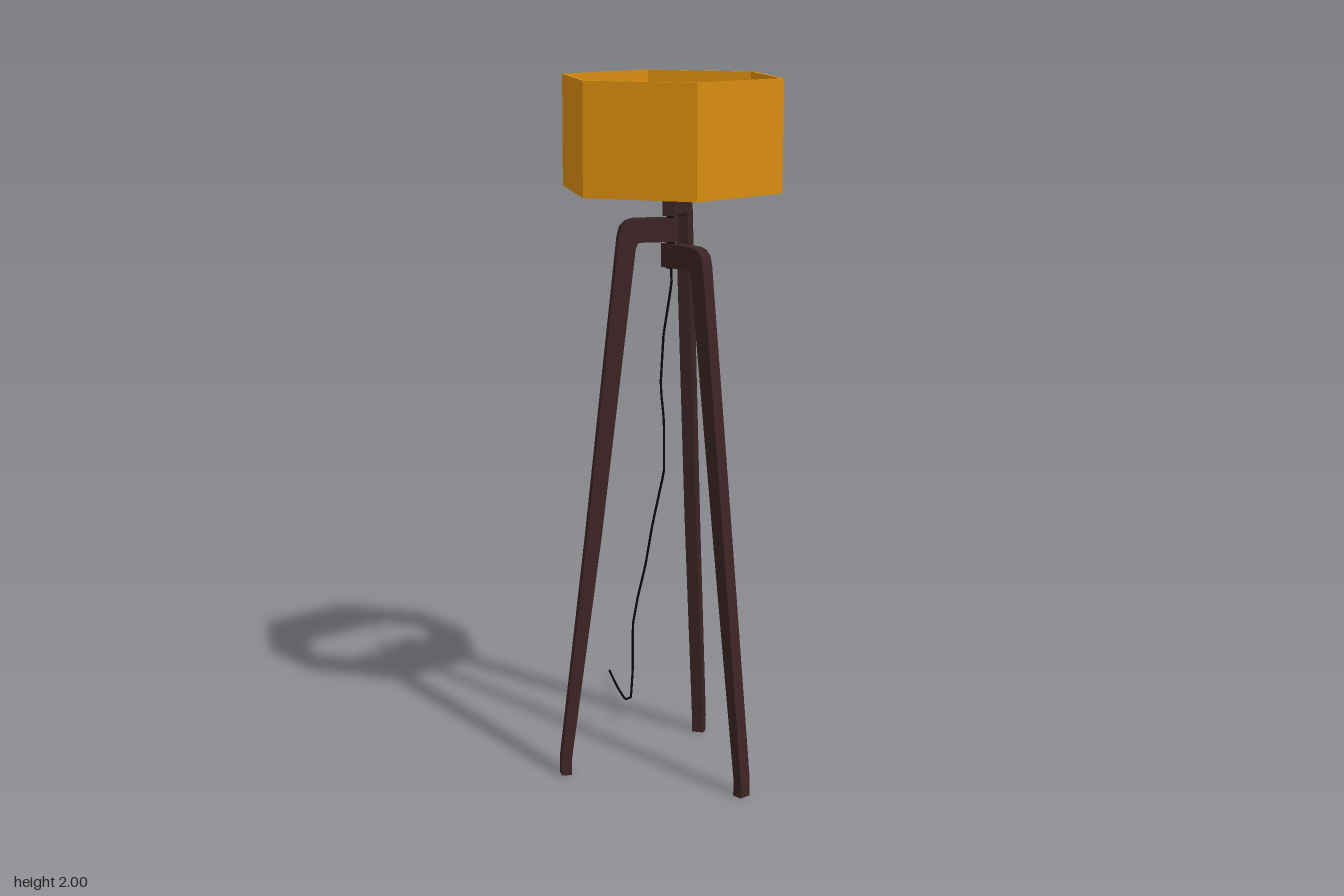
import * as THREE from 'three';

const CX = 0.195, CZ = 0.032;

function material(name, color, extra = {}) {
  const m = new THREE.MeshStandardMaterial({ color, ...extra });
  m.name = name;
  return m;
}

export function createModel() {
  const wood = material('darkWood', 0x3c2425);
  const amber = material('amberShade', 0xd98c0f);
  const black = material('blackCable', 0x0a0a0a);

  const model = new THREE.Group();
  model.name = 'tripodLamp';
  const lamp = new THREE.Group();
  lamp.name = 'lamp';
  lamp.position.set(CX, 0, CZ);
  model.add(lamp);

  const add = (parent, name, geometry, mat, y = 0) => {
    const mesh = new THREE.Mesh(geometry, mat);
    mesh.name = name;
    mesh.position.y = y;
    parent.add(mesh);
    return mesh;
  };

  // Bent legs: radial profile with a short arm, each arm stacked on the last
  const legWidth = 0.035;
  function legGeometry(top) {
    const outline = [
      [-0.02, top], [0.105, top], [0.127, top - 0.006], [0.143, top - 0.022], [0.15, top - 0.05],
      [0.244, 0.7], [0.32, 0.05], [0.32, 0], [0.29, 0], [0.29, 0.05],
      [0.202, 0.7], [0.102, top - 0.08], [0.094, top - 0.066], [-0.02, top - 0.066],
    ];
    const shape = new THREE.Shape(outline.map(([x, y]) => new THREE.Vector2(x, y)));
    const g = new THREE.ExtrudeGeometry(shape, { depth: legWidth, bevelEnabled: false });
    return g.translate(0, 0, -legWidth / 2);
  }
  [['leftLeg', 1.54, 0], ['frontLeg', 1.612, -2], ['backLeg', 1.684, 2]].forEach(([name, top, turn]) => {
    add(lamp, name, legGeometry(top), wood).rotation.y = turn * Math.PI / 3;
  });

  // Central pin, socket and small bulb
  add(lamp, 'centrePin', new THREE.CylinderGeometry(0.012, 0.012, 0.23, 8), black, 1.585);
  add(lamp, 'socket', new THREE.CylinderGeometry(0.022, 0.022, 0.045, 8), black, 1.702);
  add(lamp, 'bulb', new THREE.SphereGeometry(0.022, 8, 6), amber, 1.745);

  // Hollow hexagonal shade
  const hexagon = (r) => Array.from({ length: 6 }, (_, i) => {
    const a = (i + 0.5) * Math.PI / 3;
    return new THREE.Vector2(r * Math.cos(a), r * Math.sin(a));
  });
  const ring = new THREE.Shape(hexagon(0.318));
  ring.holes.push(new THREE.Path(hexagon(0.306)));
  const shade = new THREE.ExtrudeGeometry(ring, { depth: 0.31, bevelEnabled: false });
  add(lamp, 'shade', shade.rotateX(-Math.PI / 2), amber, 1.69);

  // Three thin spokes carrying the shade
  [[0.272, -0.125], [-0.272, -0.125], [0, 0.31]].forEach(([x, z], i) => {
    const path = new THREE.LineCurve3(new THREE.Vector3(0, 0, 0), new THREE.Vector3(x, 0, z));
    add(lamp, 'spoke' + (i + 1), new THREE.TubeGeometry(path, 1, 0.003, 5), black, 1.7);
  });

  // Power cable hanging from the hub and trailing on the floor
  const cablePoints = [
    [0.195, 1.5, 0.032], [0.2, 1.43, 0.032], [0.167, 1.28, 0.032], [0.155, 1.13, 0.032],
    [0.17, 1.03, 0.032], [0.165, 0.88, 0.027], [0.1, 0.71, 0.012], [0.05, 0.57, -0.005],
    [0, 0.46, -0.02], [-0.04, 0.36, -0.035], [-0.053, 0.22, -0.047], [-0.11, 0.1, -0.09],
    [-0.2, 0.055, -0.145], [-0.35, 0.03, -0.245], [-0.515, 0.02, -0.353],
  ].map((p) => new THREE.Vector3(...p));
  const cable = new THREE.CurvePath();
  for (let i = 1; i < cablePoints.length; i++) {
    cable.add(new THREE.LineCurve3(cablePoints[i - 1], cablePoints[i]));
  }
  add(model, 'cable', new THREE.TubeGeometry(cable, 60, 0.0035, 6), black);

  return model;
}
